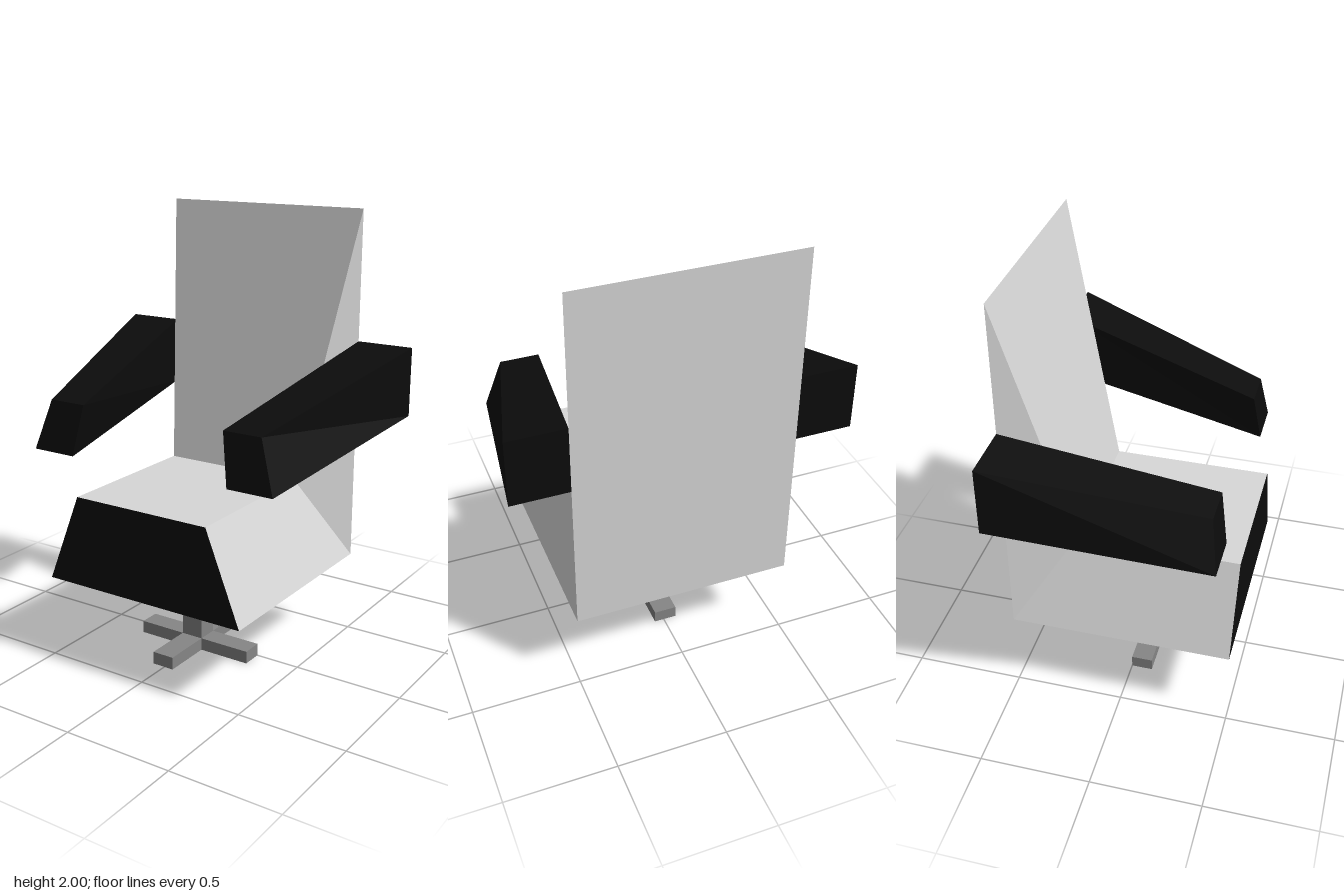
import * as THREE from 'three';

const fabric = new THREE.MeshStandardMaterial({ name: 'light grey', color: 0xd8d8d8 });
const black = new THREE.MeshStandardMaterial({ name: 'black', color: 0x0c0c0c });
const metal = new THREE.MeshStandardMaterial({ name: 'mid grey', color: 0x868686 });

// Flat-faced mesh from polygons with counter-clockwise corners
function panels(name, material, polygons) {
  const pos = [];
  for (const p of polygons) {
    for (let i = 1; i < p.length - 1; i++) pos.push(...p[0], ...p[i], ...p[i + 1]);
  }
  const geo = new THREE.BufferGeometry();
  geo.setAttribute('position', new THREE.Float32BufferAttribute(pos, 3));
  geo.computeVertexNormals();
  const mesh = new THREE.Mesh(geo, material);
  mesh.name = name;
  return mesh;
}

const flip = ([x, y, z]) => [-x, y, z];
const mirrored = (polygon) => polygon.map(flip).reverse();

function box(name, x0, x1, y0, y1, z0, z1) {
  const mesh = new THREE.Mesh(new THREE.BoxGeometry(x1 - x0, y1 - y0, z1 - z0), metal);
  mesh.position.set((x0 + x1) / 2, (y0 + y1) / 2, (z0 + z1) / 2);
  mesh.name = name;
  return mesh;
}

export function createModel() {
  const chair = new THREE.Group();
  chair.name = 'chair';

  // Seat and backrest corners on the +x side
  const frontLow = [0.5, 0.38, 0.5], backLow = [0.5, 0.38, -0.5];
  const frontTop = [0.335, 0.795, 0.5], crease = [0.335, 0.795, -0.23];
  const backTop = [0.5, 2, -0.5];
  const across = (a, b) => [flip(a), a, b, flip(b)];
  const sides = [[frontLow, backLow, crease, frontTop], [backLow, backTop, crease]];
  chair.add(panels('seatAndBackrest', fabric, [
    across(frontTop, crease),
    across(crease, backTop),
    across(backLow, frontLow),
    across(backTop, backLow),
    ...sides, ...sides.map(mirrored),
  ]));
  chair.add(panels('seatFront', black, [across(frontLow, frontTop)]));

  // Armrests: tapered bars from the backrest to the front
  const root = [[0.5, 1.1, -0.5], [0.76, 1.1, -0.5], [0.76, 1.41, -0.5], [0.5, 1.41, -0.5]];
  const tip = [[0.4, 0.955, 0.445], [0.615, 0.955, 0.445], [0.54, 1.185, 0.41], [0.36, 1.185, 0.41]];
  const arm = [[...root].reverse(), tip];
  for (let i = 0; i < 4; i++) {
    const j = (i + 1) % 4;
    arm.push([root[i], root[j], tip[j], tip[i]]);
  }
  chair.add(panels('leftArmrest', black, arm));
  chair.add(panels('rightArmrest', black, arm.map(mirrored)));

  // Pedestal: post and four feet around a hub
  const [x0, x1, z0, z1, top] = [-0.06, 0.045, 0, 0.097, 0.058];
  chair.add(
    box('post', x0, x1, 0, 0.38, z0, z1),
    box('rightFoot', -0.29, x0, 0, top, z0, z1),
    box('leftFoot', x1, 0.29, 0, top, z0, z1),
    box('backFoot', x0, x1, 0, top, -0.27, z0),
    box('frontFoot', x0, x1, 0, top, z1, 0.33),
  );
  return chair;
}
